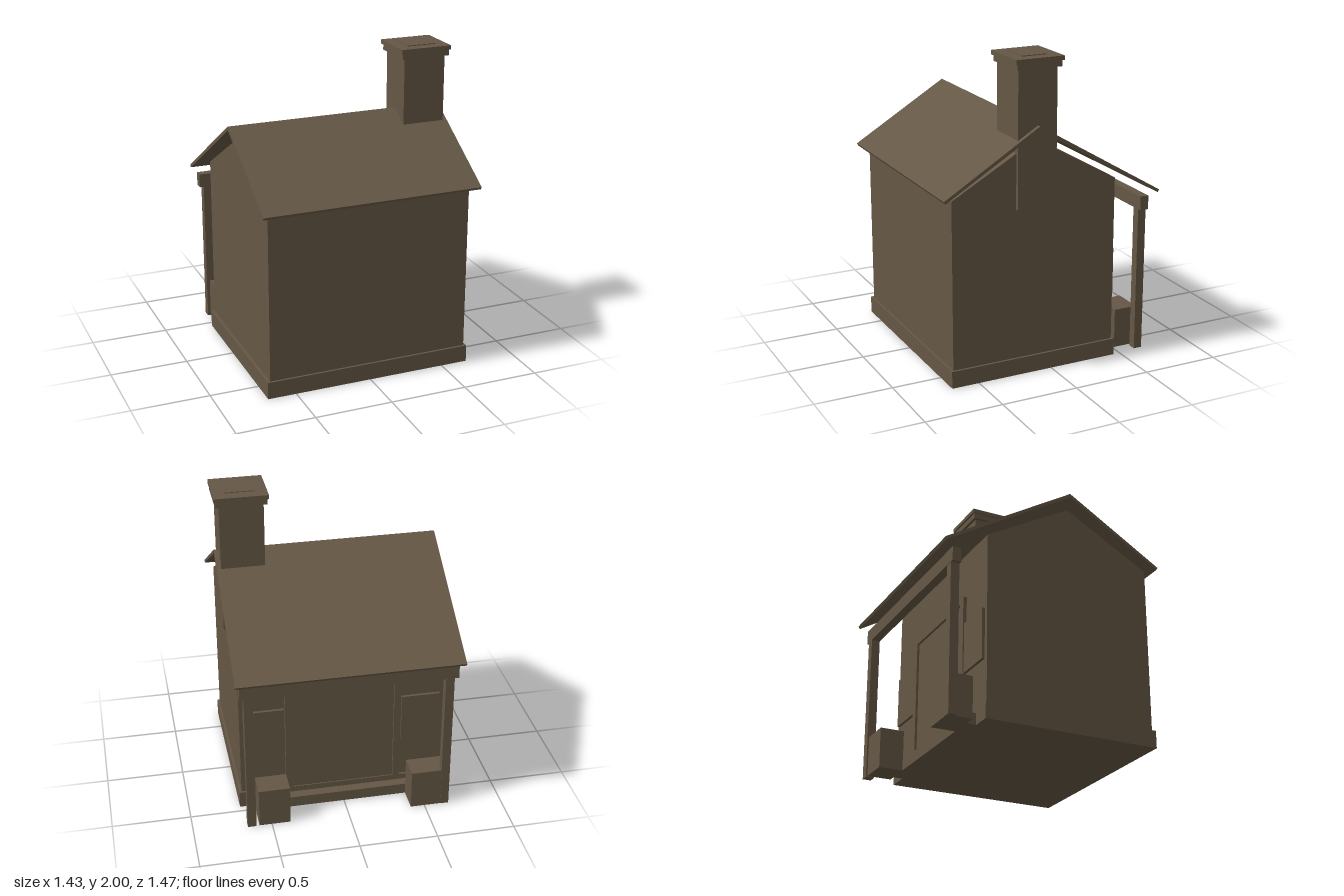
import * as THREE from 'three';

export function createModel() {
  const house = new THREE.Group();
  house.name = 'house';
  const brown = new THREE.MeshStandardMaterial({ color: 0x655745 });
  brown.name = 'brown';

  const add = (name, geometry) => {
    const mesh = new THREE.Mesh(geometry, brown);
    mesh.name = name;
    house.add(mesh);
    return mesh;
  };

  // Box given by its limits on each axis
  const box = (name, x0, x1, y0, y1, z0, z1) => {
    const g = new THREE.BoxGeometry(x1 - x0, y1 - y0, z1 - z0);
    g.translate((x0 + x1) / 2, (y0 + y1) / 2, (z0 + z1) / 2);
    return add(name, g);
  };

  // Side profile of [z, y] points, extruded from x0 to x1
  const prism = (name, points, x0, x1) => {
    const shape = new THREE.Shape(points.map(([z, y]) => new THREE.Vector2(z, y)));
    const g = new THREE.ExtrudeGeometry(shape, { depth: x1 - x0, bevelEnabled: false });
    g.rotateY(-Math.PI / 2);
    g.translate(x1, 0, 0);
    return add(name, g);
  };

  // Foundation and gabled walls
  box('foundation', -0.685, 0.675, 0, 0.11, -0.455, 0.68);
  prism('walls', [[-0.44, 0.11], [0.665, 0.11], [0.665, 1.185], [0.1125, 1.495], [-0.44, 1.185]], -0.665, 0.66);

  // Thin roof, longer over the porch
  prism('roof', [
    [0.725, 1.19], [0.735, 1.207], [0.11, 1.585],
    [-0.735, 1.08], [-0.725, 1.063], [0.11, 1.56],
  ], -0.715, 0.71);

  // Chimney with stepped cap
  box('chimneyStack', 0.405, 0.682, 1.075, 1.93, -0.017, 0.242);
  box('chimneyLowerCap', 0.385, 0.705, 1.93, 1.968, -0.035, 0.258);
  box('chimneyUpperCap', 0.375, 0.712, 1.968, 1.995, -0.047, 0.268);
  box('chimneyFlue', 0.45, 0.635, 1.99, 2, 0.03, 0.195);

  // Porch beam, posts, step and blocks
  box('porchBeam', -0.687, 0.68, 0.95, 1.04, -0.677, -0.62);
  box('leftPost', 0.6, 0.655, 0, 0.95, -0.675, -0.62);
  box('rightPost', -0.66, -0.605, 0, 0.95, -0.675, -0.62);
  box('porchStep', -0.56, 0.53, 0, 0.072, -0.517, -0.455);
  box('leftBlock', 0.38, 0.58, 0, 0.26, -0.672, -0.515);
  box('rightBlock', -0.64, -0.41, 0, 0.26, -0.672, -0.515);

  // Door with raised frame
  box('doorPanel', -0.335, 0.325, 0.11, 0.85, -0.448, -0.44);
  box('doorFrameLeft', 0.325, 0.37, 0.11, 0.89, -0.463, -0.44);
  box('doorFrameRight', -0.38, -0.335, 0.11, 0.89, -0.463, -0.44);
  box('doorFrameTop', -0.335, 0.325, 0.85, 0.89, -0.463, -0.44);

  // Window shutters beside the door
  box('leftWindow', 0.375, 0.635, 0.385, 0.71, -0.458, -0.44);
  box('rightWindow', -0.635, -0.385, 0.385, 0.71, -0.458, -0.44);

  return house;
}
